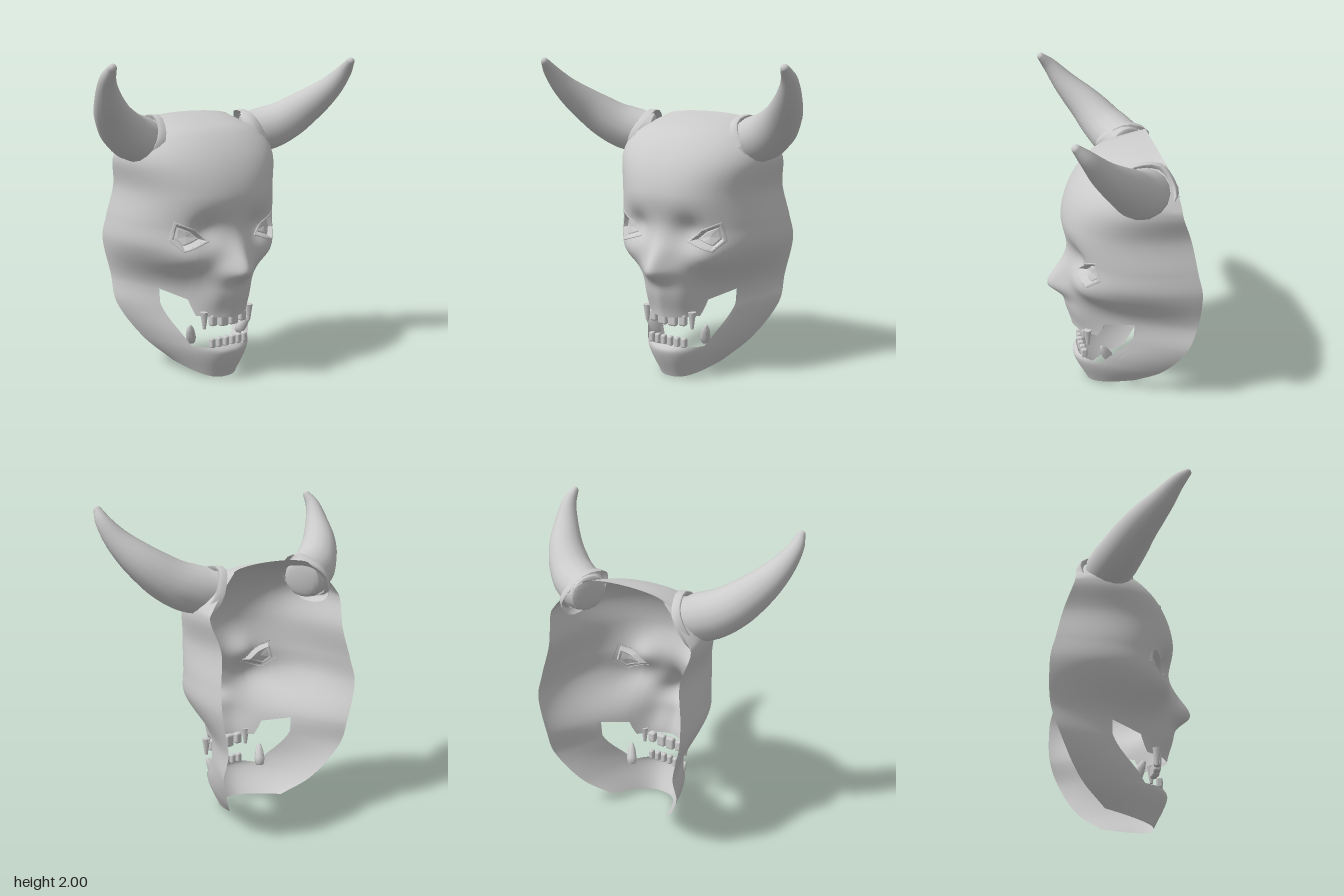
import * as THREE from 'three';
import { mergeGeometries, mergeVertices } from 'three/addons/utils/BufferGeometryUtils.js';
import { RoundedBoxGeometry } from 'three/addons/geometries/RoundedBoxGeometry.js';

const material = new THREE.MeshStandardMaterial({ color: 0xcccccc, side: THREE.DoubleSide });
const V = (x, y, z) => new THREE.Vector3(x, y, z);

// Face rows: level, rim half width, rim y, rim z, centre y, centre z, roundness q and r
const ROWS = [
  [0.00, 0.22, 0.06, -0.10, 0.00, 0.20, 2.6, 1.00],
  [0.20, 0.355, 0.20, -0.25, 0.20, 0.29, 2.4, 1.00],
  [0.42, 0.48, 0.42, -0.37, 0.42, 0.29, 1.65, 1.00],
  [0.60, 0.49, 0.60, -0.43, 0.60, 0.335, 1.6, 0.90],
  [0.85, 0.54, 0.85, -0.44, 0.85, 0.32, 2.3, 0.46],
  [1.00, 0.525, 1.00, -0.41, 1.00, 0.31, 2.3, 0.38],
  [1.20, 0.49, 1.20, -0.37, 1.20, 0.34, 2.2, 0.35],
  [1.40, 0.52, 1.37, -0.31, 1.40, 0.27, 2.2, 0.36],
  [1.58, 0.49, 1.44, -0.30, 1.56, 0.12, 2.2, 0.38],
  [1.70, 0.39, 1.55, -0.28, 1.62, -0.04, 2.2, 0.45],
  [1.85, 0.30, 1.62, -0.25, 1.66, -0.23, 2.0, 0.50],
];
// Mouth opening: [sideways fraction, level] for the upper and lower edge
const UPPER_LIP = [[0, 0.42], [0.4, 0.42], [0.46, 0.52], [0.68, 0.565], [1, 0.565]];
const LOWER_LIP = [[0, 0.23], [0.58, 0.22], [0.63, 0.36], [0.67, 0.48], [0.68, 0.565], [1, 0.565]];
const EYE = [[0.18, 0.92], [0.25, 0.985], [0.35, 1.03], [0.372, 0.93], [0.32, 0.87]];

function linear(table, t) {
  let i = 0;
  while (i < table.length - 2 && t > table[i + 1][0]) i++;
  const [a, b] = [table[i], table[i + 1]];
  return a[1] + (b[1] - a[1]) * (t - a[0]) / (b[0] - a[0]);
}

// Smooth value of one column of the row table
function rowValue(h, c) {
  const n = ROWS.length;
  let i = 0;
  while (i < n - 2 && h > ROWS[i + 1][0]) i++;
  const slope = (j) => {
    const a = ROWS[Math.max(j - 1, 0)], b = ROWS[Math.min(j + 1, n - 1)];
    return (b[c] - a[c]) / (b[0] - a[0]);
  };
  const a = ROWS[i], b = ROWS[i + 1], d = b[0] - a[0], t = (h - a[0]) / d;
  const t2 = t * t, t3 = t2 * t;
  return a[c] * (2 * t3 - 3 * t2 + 1) + b[c] * (3 * t2 - 2 * t3)
    + d * (slope(i) * (t3 - 2 * t2 + t) + slope(i + 1) * (t3 - t2));
}

const bump = (x, y, cx, cy, sx, sy) => Math.exp(-(((x - cx) / sx) ** 2) - ((y - cy) / sy) ** 2);

// Point of the face at sideways fraction s (-1..1) and level h
function facePoint(s, h) {
  const [w, yr, zr, yc, zc, q, r] = [1, 2, 3, 4, 5, 6, 7].map((c) => rowValue(h, c));
  const k = Math.pow(Math.max(0, 1 - Math.pow(Math.abs(s), q)), r);
  const p = V(w * s, yr + (yc - yr) * k, zr + (zc - zr) * k);
  const x = Math.abs(p.x), y = p.y;
  p.z += 0.11 * bump(x, y, 0, 0.74, 0.075, y > 0.74 ? 0.14 : 0.07)   // nose
    + 0.02 * bump(x, y, 0.08, 0.72, 0.06, 0.06)                      // nostrils
    + 0.035 * bump(x, y, 0.14, 0.54, 0.07, 0.12)                     // muzzle
    + 0.045 * bump(x, y, 0.31, 0.8, 0.12, 0.09)                      // cheekbone
    - 0.05 * bump(x, y, 0.18, 0.98, 0.09, 0.09)                      // eye socket
    - 0.045 * bump(x, y, 0, 0.245, 0.16, 0.03);                      // rolled lower lip
  return p;
}

function insideEye(x, y) {
  let inside = false;
  EYE.forEach(([ax, ay], i) => {
    const [bx, by] = EYE[(i + 1) % EYE.length];
    if ((ay > y) !== (by > y) && x < ax + (bx - ax) * (y - ay) / (by - ay)) inside = !inside;
  });
  return inside;
}

// Column positions, following the corners of the mouth
function columns() {
  const knots = [0, 0.4, 0.46, 0.58, 0.63, 0.68, 1], counts = [18, 4, 7, 4, 4, 18];
  const half = [];
  counts.forEach((n, i) => {
    const a = Math.asin(knots[i]), b = Math.asin(knots[i + 1]);
    for (let j = 1; j <= n; j++) half.push(Math.sin(a + (b - a) * j / n));
  });
  return [...half.map((s) => -s).reverse(), 0, ...half];
}

// Sheet of the face between two level curves
function facePatch(low, high, rows) {
  const cols = columns(), pos = [], index = [], n = cols.length;
  for (let j = 0; j <= rows; j++) for (const s of cols) {
    const a = low(Math.abs(s)), b = high(Math.abs(s));
    pos.push(...facePoint(s, a + (b - a) * j / rows));
  }
  const add = (...t) => {
    const mid = (c) => t.reduce((sum, i) => sum + pos[i * 3 + c], 0) / 3;
    if (!insideEye(Math.abs(mid(0)), mid(1))) index.push(...t);
  };
  for (let j = 0; j < rows; j++) for (let i = 0; i < n - 1; i++) {
    const a = j * n + i;
    add(a, a + 1, a + n + 1);
    add(a, a + n + 1, a + n);
  }
  const g = new THREE.BufferGeometry();
  g.setAttribute('position', new THREE.Float32BufferAttribute(pos, 3));
  g.setIndex(index);
  return g;
}

// Eyelid and recessed eye: rings of the almond outline at several scales and depths
function eyeGeometry(side) {
  const cx = 0.29, cy = 0.945, steps = 5, outline = [];
  EYE.forEach(([ax, ay], i) => {
    const [bx, by] = EYE[(i + 1) % EYE.length];
    for (let j = 0; j < steps; j++) outline.push([ax + (bx - ax) * j / steps, ay + (by - ay) * j / steps]);
  });
  const n = outline.length, pos = [], index = [];
  const rings = [[1.2, -0.002], [1.1, 0.004], [1.0, 0.004], [0.72, -0.035], [0.6, -0.03], [0.001, -0.03]];
  for (const [scale, depth] of rings) for (const [ex, ey] of outline) {
    const x = cx + (ex - cx) * scale, y = cy + (ey - cy) * scale;
    const p = facePoint(x / rowValue(y, 1), y);
    pos.push(side * p.x, p.y, p.z + depth);
  }
  for (let j = 0; j < rings.length - 1; j++) for (let i = 0; i < n; i++) {
    const a = j * n + i, b = j * n + (i + 1) % n;
    if (side > 0) index.push(a, a + n, b, b, a + n, b + n);
    else index.push(a, b, a + n, b, b + n, a + n);
  }
  const g = new THREE.BufferGeometry();
  g.setAttribute('position', new THREE.Float32BufferAttribute(pos, 3));
  g.setIndex(index);
  const flat = g.toNonIndexed();
  flat.computeVertexNormals();
  return flat;
}

// Tapering curved horn made from a tube whose rings are scaled
function hornGeometry(side) {
  const path = new THREE.CatmullRomCurve3([[0.355, 1.505, -0.13], [0.44, 1.52, -0.095], [0.56, 1.565, -0.03], [0.69, 1.67, 0.07],
    [0.79, 1.8, 0.2], [0.835, 1.91, 0.29], [0.835, 1.975, 0.35]].map(([x, y, z]) => V(side * x, y, z)));
  const radii = [[0, 0.12], [0.08, 0.145], [0.2, 0.145], [0.4, 0.128], [0.6, 0.1], [0.8, 0.066], [0.93, 0.042], [1, 0.025]];
  const n = 30, m = 16, g = new THREE.TubeGeometry(path, n, 1, m), pos = g.attributes.position;
  for (let i = 0; i < pos.count; i++) {
    const t = Math.floor(i / (m + 1)) / n, c = path.getPointAt(t);
    const v = V().fromBufferAttribute(pos, i).sub(c).multiplyScalar(linear(radii, t)).add(c);
    pos.setXYZ(i, v.x, v.y, v.z);
  }
  const cap = (t, r, flatness) => {
    const turn = new THREE.Quaternion().setFromUnitVectors(V(0, 0, 1), path.getTangentAt(t));
    return new THREE.SphereGeometry(r, 16, 8).scale(1, 1, flatness).applyQuaternion(turn).translate(...path.getPointAt(t));
  };
  return mergeGeometries([g, cap(0, 0.12, 0.2), cap(1, 0.025, 1)]);
}

export function createModel() {
  const model = new THREE.Group();
  const add = (name, geometry, position = [0, 0, 0]) => {
    const mesh = new THREE.Mesh(geometry, material);
    mesh.name = name;
    mesh.position.set(...position);
    model.add(mesh);
    return mesh;
  };

  // Mask shell, open at the back and at the mouth
  const upper = (s) => linear(UPPER_LIP, s), lower = (s) => linear(LOWER_LIP, s);
  const shell = mergeVertices(mergeGeometries([facePatch(upper, () => 1.85, 84), facePatch(() => 0, lower, 24)]));
  shell.computeVertexNormals();
  add('maskShell', shell);

  for (const side of [-1, 1]) {
    const label = side > 0 ? 'left' : 'right';
    add(label + 'Eye', eyeGeometry(side));
    add(label + 'Horn', hornGeometry(side));

    // Uneven flared collar of skin around the horn
    const collarProfile = [[0.182, -0.03], [0.176, -0.01], [0.166, 0.012], [0.157, 0.016], [0.142, -0.01]];
    const ring = new THREE.LatheGeometry(collarProfile.map(([r, y]) => new THREE.Vector2(r, y)), 20);
    const pos = ring.attributes.position;
    for (let i = 0; i < pos.count; i++) {
      const f = 1 + 0.03 * Math.cos(5 * Math.atan2(pos.getZ(i), pos.getX(i)));
      pos.setXYZ(i, pos.getX(i) * f, pos.getY(i), pos.getZ(i) * f);
    }
    ring.computeVertexNormals();
    const collar = add(label + 'HornCollar', ring, [side * 0.415, 1.51, -0.115]);
    collar.quaternion.setFromUnitVectors(V(0, 1, 0), V(side * 0.85, 0.45, 0.14).normalize());

    // Upper teeth: [x, width, height, z]
    for (const [x, w, h, z] of [[0.036, 0.062, 0.085, 0.225], [0.108, 0.05, 0.075, 0.22]])
      add('upperTooth', new RoundedBoxGeometry(w, h, 0.045, 2, 0.014), [side * x, 0.435 - h / 2, z]);
    add('upperFang', new THREE.CylinderGeometry(0.026, 0.01, 0.11, 8), [side * 0.167, 0.4, 0.21]);

    // Lower teeth and tusk
    for (const x of [0.024, 0.072, 0.12])
      add('lowerTooth', new RoundedBoxGeometry(0.034, 0.065, 0.04, 2, 0.012), [side * x, 0.252, 0.24 - x * 0.1]);
    const tusk = new THREE.LatheGeometry([[0, -0.075], [0.026, -0.07], [0.034, -0.03], [0.026, 0.03], [0.012, 0.07], [0, 0.075]]
      .map(([x, y]) => new THREE.Vector2(x, y)), 8);
    add('lowerTusk', tusk, [side * 0.2, 0.29, 0.1]).rotation.set(0.45, 0, side * -0.3);
  }
  return model;
}
